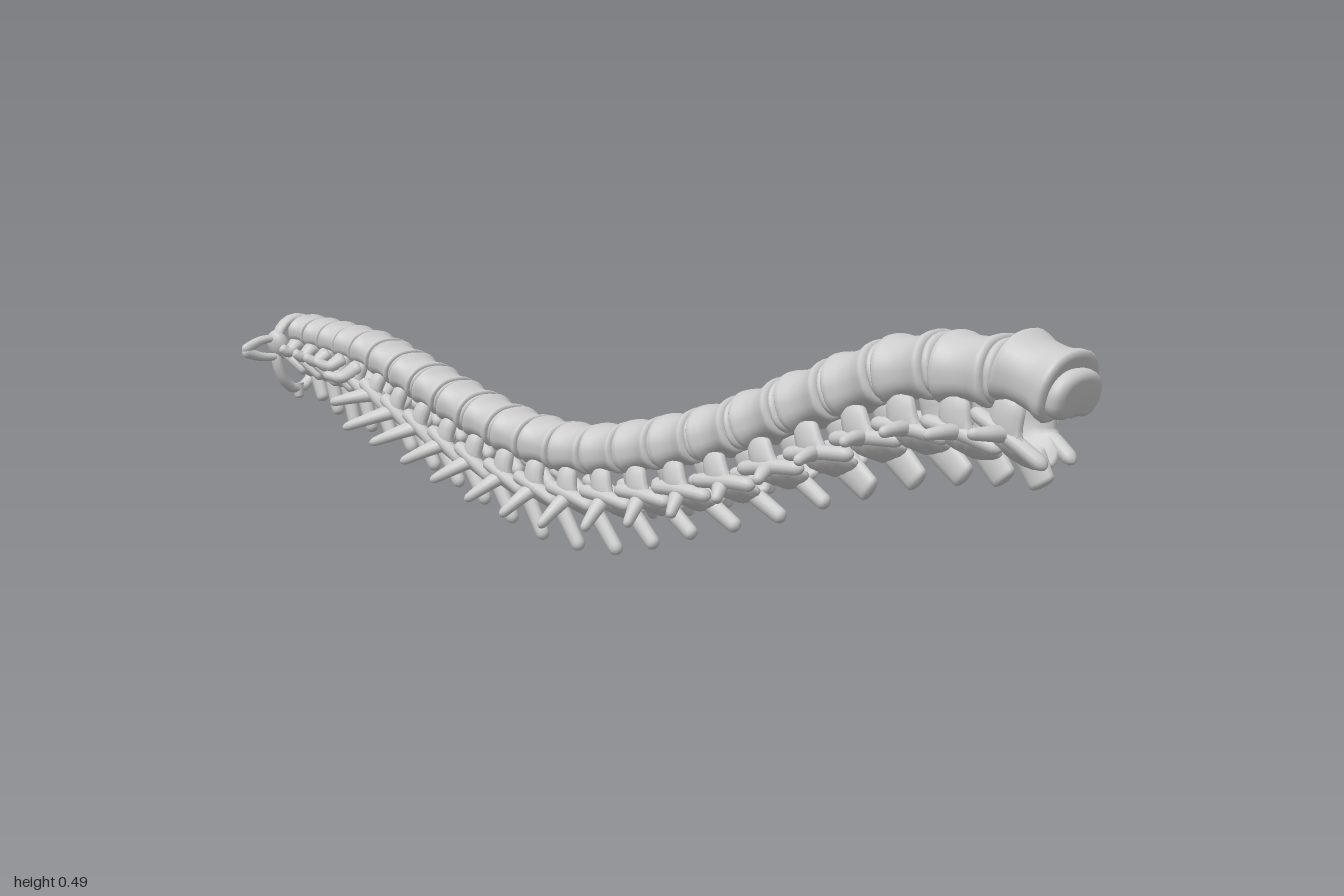
import * as THREE from 'three';

const V = (x, y, z) => new THREE.Vector3(x, y, z);
const SIDE = V(1, 0, 0), ALONG = V(0, 0, 1);
const { lerp, smoothstep } = THREE.MathUtils;
const bone = new THREE.MeshStandardMaterial({ color: 0xcccccc });

// Closed skin over rows of ring points given by f(row, angle)
function loft(rows, segs, f) {
  const pos = [], idx = [];
  for (let i = 0; i < rows; i++) {
    for (let j = 0; j < segs; j++) pos.push(...f(i, (j / segs) * Math.PI * 2).toArray());
  }
  for (let i = 0; i < rows - 1; i++) {
    for (let j = 0; j < segs; j++) {
      const a = i * segs + j, b = i * segs + (j + 1) % segs;
      idx.push(a, b, b + segs, a, b + segs, a + segs);
    }
  }
  const g = new THREE.BufferGeometry();
  g.setAttribute('position', new THREE.Float32BufferAttribute(pos, 3));
  g.setIndex(idx);
  g.computeVertexNormals();
  return g;
}

// Round-ended spur; its radii along and across ref run from start to end
function sweep(points, start, end, ref) {
  const curve = new THREE.CatmullRomCurve3(points), rows = 17;
  const frames = Array.from({ length: rows }, (_, i) => {
    const s = (1 - Math.cos((i / (rows - 1)) * Math.PI)) / 2;
    const t = curve.getTangent(s);
    const u = ref.clone().addScaledVector(t, -t.dot(ref)).normalize();
    const cap = Math.sqrt(1 - (1 - Math.min(1, s / 0.12, (1 - s) / 0.12)) ** 2);
    const [a, b] = start.map((r, k) => lerp(r, end[k], s) * cap);
    return { p: curve.getPoint(s), u: u.clone().multiplyScalar(a), v: t.cross(u).multiplyScalar(b) };
  });
  return loft(rows, 12, (i, a) => {
    const { p, u, v } = frames[i];
    return p.clone().addScaledVector(u, Math.cos(a)).addScaledVector(v, Math.sin(a));
  });
}

// Oval drum with a notched underside facing the canal; profile gives [z, scale]
function drum(w, h, len, profile) {
  return loft(profile.length, 32, (i, a) => {
    const [z, r] = profile[i], c = Math.cos(a), s = Math.sin(a);
    const x = Math.sign(c) * Math.abs(c) ** 0.85 * w;
    const y = s > 0 ? s * h : -(Math.abs(s) ** 0.7) * h * (1 - 0.22 * Math.exp(-((c / 0.35) ** 2)));
    return V(x * r, y * r, z * len);
  });
}
const half = [[-0.45, 0], [-0.5, 0.82], [-0.49, 0.94], [-0.44, 1], [-0.36, 0.98], [-0.2, 0.89], [-0.06, 0.87]];
const bodyProfile = [...half, ...half.slice().reverse().map(([z, r]) => [-z, r])];
const discProfile = Array.from({ length: 11 }, (_, i) => {
  const a = (i / 10) * Math.PI;
  return [-Math.cos(a) / 2, Math.abs(Math.sin(a)) ** 0.3];
});

// Guides from tail to head, one key for every second bone
const LAST = 22;
const guide = (zs, ys) => new THREE.CatmullRomCurve3(zs.map((z, k) => V(0, ys[k], z)), false, 'catmullrom');
const bodyLine = guide(
  [0.92, 0.685, 0.478, 0.272, 0.086, -0.087, -0.252, -0.414, -0.562, -0.692, -0.802, -0.908],
  [0.422, 0.416, 0.35, 0.273, 0.225, 0.2, 0.211, 0.249, 0.295, 0.334, 0.351, 0.362]);
const tipLine = guide(
  [0.925, 0.78, 0.59, 0.4, 0.19, 0, -0.2, -0.365, -0.515, -0.655, -0.775, -0.88],
  [0.25, 0.245, 0.2, 0.13, 0.07, 0.012, 0.012, 0.06, 0.11, 0.16, 0.17, 0.215]);
const reach = [0.115, 0.112, 0.105, 0.075, 0.085, 0.102, 0.1, 0.102, 0.122, 0.09, 0.085, 0.08];

// Adds a named bone mesh to a group
function add(group, name, geometry) {
  const m = new THREE.Mesh(geometry, bone);
  m.name = name;
  group.add(m);
}

function makeVertebra(i) {
  const g = new THREE.Group();
  const lumbar = i < 5, neck = i > 16, last = i === 0;
  const h = 0.062 - 0.0014 * i, w = 0.076 - 0.001 * i, gap = 0.118 - 0.003 * i;
  const center = bodyLine.getPoint(i / LAST);
  const next = bodyLine.getPoint(Math.min(i + 0.5, LAST) / LAST);
  const before = bodyLine.getPoint(Math.max(i - 0.5, 0) / LAST);
  const slope = last ? -0.3 : Math.atan2(before.y - next.y, before.z - next.z);
  g.position.copy(center);
  g.rotation.x = -slope;
  add(g, 'vertebralBody', drum(w, h, gap * 0.88, bodyProfile));

  // disc on the tail side, thicker and exposed on the last one
  const disc = last ? drum(w * 0.82, h * 0.68, 0.034, discProfile) : drum(w * 0.92, h * 0.92, gap * 0.2, discProfile);
  disc.translate(0, last ? -0.006 : 0, gap * 0.5);
  add(g, 'disc', disc);

  const drop = lumbar ? 0.07 : neck ? 0.055 : 0.066;
  const px = neck ? 0.046 : 0.044, py = -h - drop / 2, ly = -h - drop;
  const k = Math.floor(i / 2);
  const trX = i % 2 ? (reach[k] + reach[k + 1]) / 2 : reach[k];
  const trY = -h - 0.035 - 0.055 * smoothstep(i, 2, 9) + 0.09 * smoothstep(i, 16, 19);
  const trZ = -0.03 * (1 - smoothstep(i, 0, 3)) - 0.065 * smoothstep(i, 5, 16) + 0.055 * smoothstep(i, 17, 22);
  for (const s of [-1, 1]) {
    // pedicle running into the lamina
    add(g, 'neuralArch', sweep([
      V(s * w * 0.55, -h * 0.55, -gap * 0.15), V(s * px, py, -gap * 0.08),
      V(s * 0.026, ly + 0.012, gap * 0.08), V(-s * 0.004, ly - 0.006, gap * 0.16),
    ], [gap * 0.24, 0.015], [gap * 0.36, 0.012], ALONG));
    // joint pillars that overlap the neighbouring bones
    const jx = s * (px + 0.004);
    add(g, 'jointPillar', sweep(
      [V(jx, py + 0.014, -gap * 0.66), V(jx, py, 0), V(jx * 0.78, py - 0.022, gap * 0.62)],
      [0.014, 0.013], [0.013, 0.013], SIDE));
    // sideways spur
    add(g, 'transverseSpur', sweep([
      V(s * px * 0.85, i > 17 ? -h * 0.7 : py, -gap * 0.1),
      V(s * (px + trX) * 0.5, (py + trY) * 0.5 + 0.003, trZ * 0.5), V(s * trX, trY, trZ),
    ], [0.02, 0.015], [0.008, 0.009], ALONG));
  }

  // midline spur: broad plate at the tail end, slanting rod further up
  const tip = tipLine.getPoint(i / LAST).sub(center).applyAxisAngle(SIDE, slope);
  const root = V(0, ly + 0.01, gap * 0.1);
  const mid = root.clone().lerp(tip, 0.5);
  add(g, 'spinousSpur', sweep([root, mid, tip], [0.014, lumbar ? 0.03 : 0.017], [0.013, lumbar ? 0.024 : 0.014], SIDE));
  return g;
}

// Ring-shaped top bone with wide wings, and the peg it turns on
function makeRingBone() {
  const g = new THREE.Group();
  g.position.set(0, 0.325, -0.972);
  const arch = (height) => Array.from({ length: 9 }, (_, i) => {
    const a = (i / 8) * Math.PI;
    return V(0.055 * Math.cos(a), height * Math.sin(a), 0);
  });
  add(g, 'frontArch', sweep(arch(0.06), [0.015, 0.01], [0.015, 0.01], ALONG));
  add(g, 'rearArch', sweep(arch(-0.092), [0.014, 0.011], [0.014, 0.011], ALONG));
  add(g, 'rearTubercle', sweep([V(0, -0.08, 0), V(0, -0.112, 0.006)], [0.016, 0.013], [0.009, 0.009], ALONG));
  for (const s of [-1, 1]) {
    const mass = new THREE.SphereGeometry(1, 20, 14);
    mass.scale(0.02, 0.032, 0.027);
    mass.rotateZ(s * -0.35);
    mass.translate(s * 0.048, 0.006, 0);
    add(g, 'lateralMass', mass);
    // each wing forks around a small opening
    for (const k of [-1, 1]) {
      add(g, 'transverseWing', sweep(
        [V(s * 0.05, k * 0.02, 0), V(s * 0.09, k * 0.017, -0.005), V(s * 0.133, -0.003, -0.01)],
        [0.011, 0.007], [0.009, 0.012], ALONG));
    }
  }
  add(g, 'peg', sweep([V(0, 0.035, 0.05), V(0, 0.034, -0.02)], [0.018, 0.016], [0.012, 0.012], SIDE));
  return g;
}

export function createModel() {
  const model = new THREE.Group();
  model.name = 'spine';
  for (let i = 0; i <= LAST; i++) {
    const v = makeVertebra(i);
    v.name = i < 5 ? `lumbarVertebra${5 - i}` : i < 17 ? `thoracicVertebra${17 - i}` : `cervicalVertebra${24 - i}`;
    model.add(v);
  }
  const ring = makeRingBone();
  ring.name = 'cervicalVertebra1';
  model.add(ring);
  return model;
}
